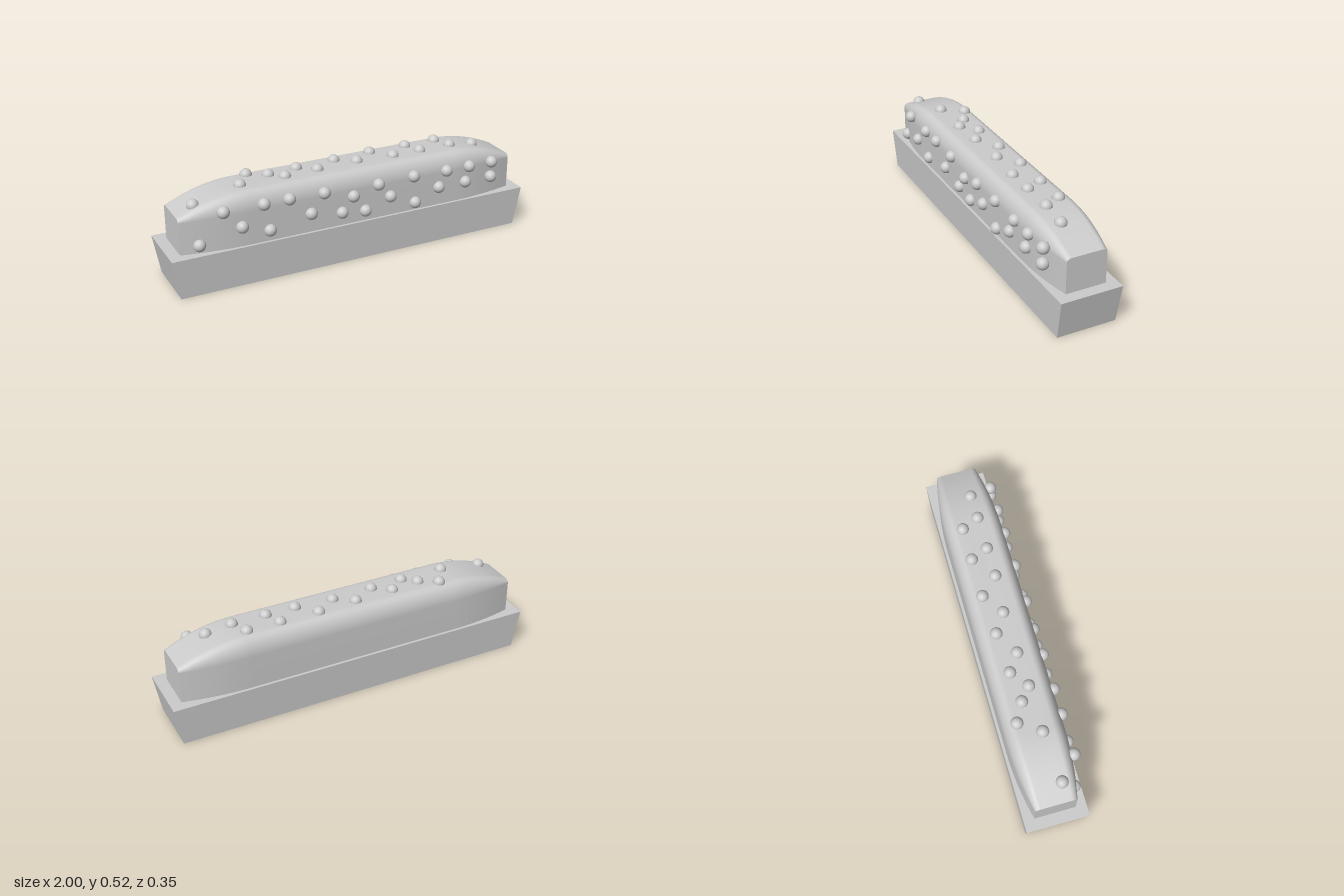
import * as THREE from 'three';

const material = new THREE.MeshStandardMaterial({ color: 0xcccccc });
const CENTER_Z = -0.01;
const BASE_Y = 0.205;
const END_X = 0.94;

// Flower positions on the front face [x, y] and on the top [x, z]
const FRONT = [
  [-0.845, 0.254], [-0.725, 0.417], [-0.63, 0.318], [-0.513, 0.417], [-0.484, 0.27], [-0.377, 0.417],
  [-0.26, 0.313], [-0.187, 0.412], [-0.088, 0.283], [-0.024, 0.361], [0.045, 0.267], [0.12, 0.398],
  [0.19, 0.318], [0.326, 0.404], [0.337, 0.254], [0.479, 0.313], [0.524, 0.398], [0.642, 0.313],
  [0.663, 0.398], [0.802, 0.398], [0.802, 0.313],
];
const TOP = [
  [-0.845, 0.045], [-0.59, 0.021], [-0.516, -0.088], [-0.417, -0.035], [-0.348, 0.021], [-0.257, -0.05],
  [-0.166, 0.013], [-0.04, -0.059], [0.061, 0.005], [0.174, -0.072], [0.265, 0.021], [0.385, -0.07],
  [0.425, 0.021], [0.564, -0.07], [0.607, 0.021], [0.746, 0.021],
];

// Planter: a box whose bottom is narrower than its top
function planterGeometry() {
  const geo = new THREE.BoxGeometry(2, 0.212, 0.328).translate(0, 0.106, 0);
  const p = geo.attributes.position;
  for (let i = 0; i < p.count; i++) {
    if (p.getY(i) < 0.1) {
      p.setX(i, p.getX(i) * 0.963);
      p.setZ(i, p.getZ(i) * 0.96);
    }
  }
  geo.translate(0, 0, CENTER_Z);
  geo.computeVertexNormals();
  return geo;
}

// How far a station lies into the tapering end, 0 to 1
const taper = (x) => Math.max(0, (Math.abs(x) - 0.58) / (END_X - 0.58));
const hedgeTop = (x) => 0.486 - 0.086 * taper(x) ** 2;

// Arched cross-section of the hedge at x, from front foot over the top to back foot
function section(x) {
  const t2 = taper(x) ** 2;
  const w = 0.15 - 0.043 * t2;
  const top = hedgeTop(x);
  const rz = 0.062 - 0.035 * t2;
  const ry = 0.095 - 0.077 * t2;
  const half = [[w, BASE_Y], [w, (BASE_Y + top - ry) / 2]];
  for (let i = 0; i <= 8; i++) {
    const a = (i / 8) * Math.PI / 2;
    half.push([w - rz + rz * Math.cos(a), top - ry + ry * Math.sin(a)]);
  }
  half.push([(w - rz) / 2, top]);
  const back = half.map(([z, y]) => [-z, y]).reverse();
  return [...half, ...back].map(([z, y]) => new THREE.Vector3(x, y, z + CENTER_Z));
}

// Hedge skin: cross-sections joined along x
function hedgeGeometry() {
  const stations = [];
  for (let i = 0; i <= 10; i++) stations.push(0.58 + (END_X - 0.58) * (i / 10));
  const xs = [...stations.map((x) => -x).reverse(), 0, ...stations];
  const rows = xs.map(section);
  const n = rows[0].length;
  const index = [];
  for (let r = 0; r < rows.length - 1; r++) {
    for (let c = 0; c < n - 1; c++) {
      const a = r * n + c, b = a + n;
      index.push(a, b, a + 1, b, b + 1, a + 1);
    }
  }
  const geo = new THREE.BufferGeometry().setFromPoints(rows.flat());
  geo.setIndex(index);
  geo.computeVertexNormals();
  return geo;
}

// Flat end of the hedge, on side +1 or -1
function endGeometry(side) {
  const pts = section(side * END_X);
  const index = [];
  for (let i = 1; i < pts.length - 1; i++) {
    if (side > 0) index.push(0, i + 1, i);
    else index.push(0, i, i + 1);
  }
  const geo = new THREE.BufferGeometry().setFromPoints(pts);
  geo.setIndex(index);
  geo.computeVertexNormals();
  return geo;
}

export function createModel() {
  const model = new THREE.Group();
  model.name = 'hedgePlanter';
  const add = (parent, name, geo, mat = material) => {
    const mesh = new THREE.Mesh(geo, mat);
    mesh.name = name;
    parent.add(mesh);
    return mesh;
  };

  add(model, 'planter', planterGeometry());

  const hedge = new THREE.Group();
  hedge.name = 'hedge';
  const skin = material.clone();
  skin.side = THREE.DoubleSide;
  add(hedge, 'hedgeBody', hedgeGeometry(), skin);
  add(hedge, 'hedgeLeftEnd', endGeometry(1), skin);
  add(hedge, 'hedgeRightEnd', endGeometry(-1), skin);
  model.add(hedge);

  // Round blossoms half sunk into the hedge
  const flowers = new THREE.Group();
  flowers.name = 'flowers';
  const ball = new THREE.SphereGeometry(0.032, 20, 14);
  for (const [x, y] of FRONT) {
    add(flowers, 'frontFlower', ball).position.set(x, y, x < -0.8 ? 0.118 : 0.143);
  }
  for (const [x, z] of TOP) {
    add(flowers, 'topFlower', ball).position.set(x, hedgeTop(x), z);
  }
  model.add(flowers);
  return model;
}
